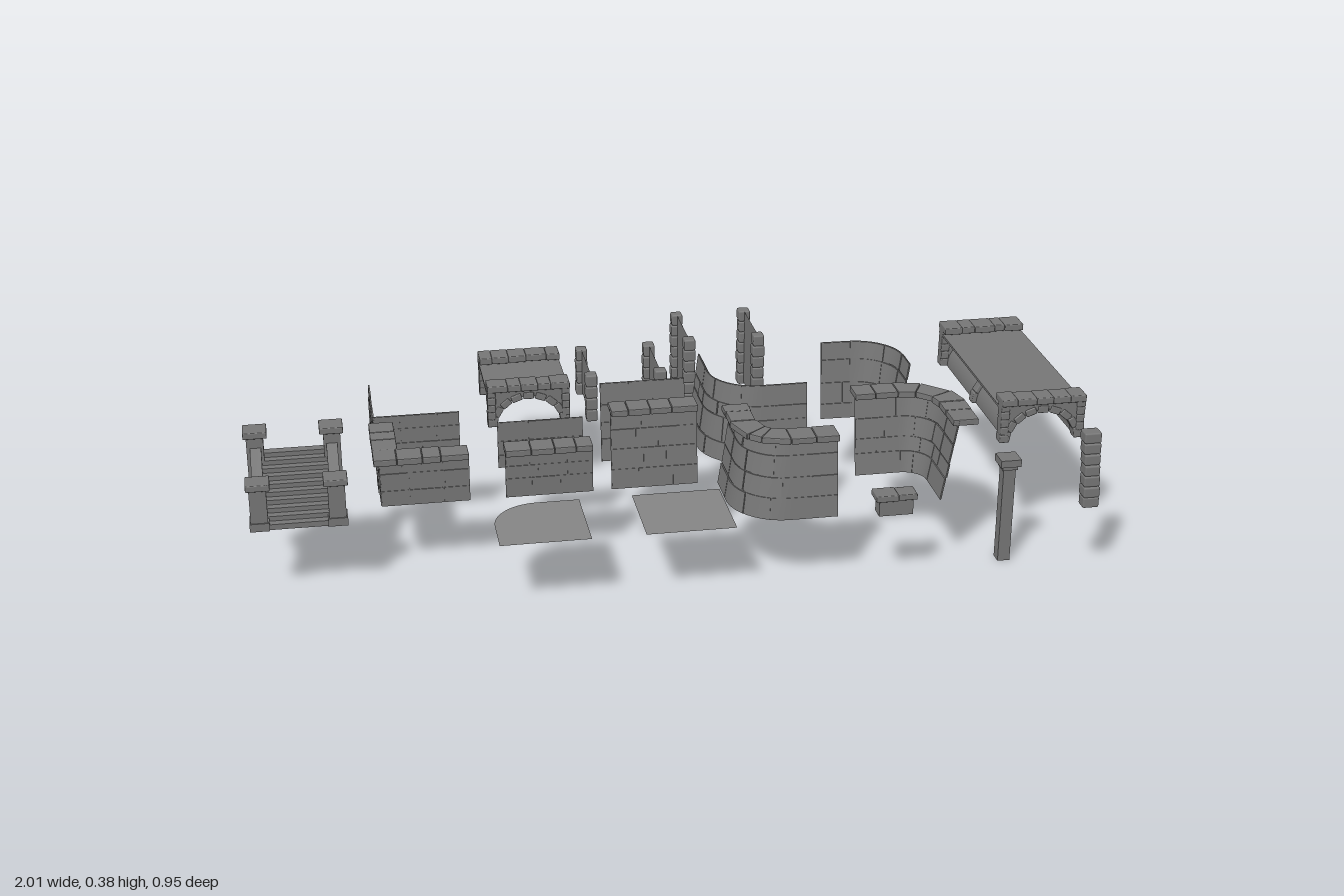
import * as THREE from 'three';
import { mergeGeometries } from 'three/addons/utils/BufferGeometryUtils.js';
import { RoundedBoxGeometry } from 'three/addons/geometries/RoundedBoxGeometry.js';

const stoneGrey = new THREE.MeshStandardMaterial({ color: 0x767676, side: THREE.DoubleSide });
const floorGrey = new THREE.MeshStandardMaterial({ color: 0x848484, side: THREE.DoubleSide });
const GROUND = 0.178;

let seed = 7;
const rand = (a, b) => {
  seed = (seed * 16807) % 2147483647;
  return a + (b - a) * (seed / 2147483647);
};

function add(parent, name, geometries, material = stoneGrey) {
  const list = [].concat(geometries).map((g) => (g.index ? g.toNonIndexed() : g));
  const mesh = new THREE.Mesh(list.length > 1 ? mergeGeometries(list) : list[0], material);
  mesh.name = name;
  parent.add(mesh);
  return mesh;
}

function makeGroup(parent, name, x = 0, y = 0, z = 0) {
  const g = new THREE.Group();
  g.name = name;
  g.position.set(x, y, z);
  parent.add(g);
  return g;
}

const box = (w, h, d, x, y, z) => new THREE.BoxGeometry(w, h, d).translate(x, y, z);
const stone = (w, h, d, x, y, z) =>
  new RoundedBoxGeometry(w, h, d, 1, Math.min(w, h, d) * 0.15).translate(x, y, z);

// Move every vertex of a geometry by a rule
function bend(geometry, rule) {
  const p = geometry.attributes.position;
  const v = new THREE.Vector3();
  for (let i = 0; i < p.count; i++) {
    rule(v.fromBufferAttribute(p, i));
    p.setXYZ(i, v.x, v.y, v.z);
  }
  geometry.computeVertexNormals();
  return geometry;
}

// Cut a length into pieces of uneven size
function cuts(length, size) {
  const n = Math.max(1, Math.round(length / size));
  const out = [0];
  for (let i = 1; i < n; i++) out.push(((i + rand(-0.25, 0.25)) / n) * length);
  return [...out, length];
}

// Plan line (x, z) of a wall: straight, or turning at a rounded corner
function plan(a, b, corner, r = 0.11) {
  const path = new THREE.Path().moveTo(...a);
  if (corner) {
    const A = new THREE.Vector2(...a), B = new THREE.Vector2(...b), C = new THREE.Vector2(...corner);
    const p = C.clone().add(A.sub(C).setLength(r)), q = C.clone().add(B.clone().sub(C).setLength(r));
    const k = 0.55;
    const c1 = p.clone().lerp(C, k), c2 = q.clone().lerp(C, k);
    path.lineTo(p.x, p.y).bezierCurveTo(c1.x, c1.y, c2.x, c2.y, q.x, q.y);
  }
  return path.lineTo(...b);
}

// Brick-faced wall skin, leaning back by `batter`, with an optional row of cap stones
function wall(parent, name, path, top, { batter = 0, cap = null, extend = [0, 0] } = {}) {
  const g = makeGroup(parent, name);
  const length = path.getLength();
  const height = top - GROUND;
  // local x runs along the wall, y is up, z is outward
  const follow = (lean) => (v) => {
    const s = THREE.MathUtils.clamp(v.x, 0, length);
    const t = path.getTangentAt(THREE.MathUtils.clamp(s / length, 0.0005, 0.9995));
    const p = path.getPointAt(s / length);
    const d = v.z + lean * (1 - (v.y - GROUND) / height);
    v.set(p.x + t.x * (v.x - s) - t.y * d, v.y, p.y + t.y * (v.x - s) + t.x * d);
  };
  const skin = new THREE.PlaneGeometry(length, height, 32, 1);
  skin.translate(length / 2, GROUND + height / 2, 0);
  add(g, 'wallFace', bend(skin, follow(batter)));

  const bricks = [];
  const rows = cuts(height, 0.046);
  for (let r = 0; r + 1 < rows.length; r++) {
    const h = rows[r + 1] - rows[r];
    const c = cuts(length, rand(0.055, 0.085));
    for (let i = 0; i + 1 < c.length; i++) {
      const b = new THREE.BoxGeometry(c[i + 1] - c[i] - 0.003, h - 0.003, 0.004, 4, 1, 1);
      b.translate((c[i] + c[i + 1]) / 2, GROUND + rows[r] + h / 2, rand(-0.001, 0.001));
      bricks.push(bend(b, follow(batter)));
    }
  }
  add(g, 'bricks', bricks);

  if (cap) {
    const [inner, outer] = cap;
    const c = cuts(length + extend[0] + extend[1], 0.052);
    const stones = [];
    for (let i = 0; i + 1 < c.length; i++) {
      const s = stone(c[i + 1] - c[i] - 0.001, 0.015 + rand(0, 0.002), outer - inner + rand(-0.005, 0.002),
        (c[i] + c[i + 1]) / 2 - extend[0], top - 0.004, (inner + outer) / 2);
      stones.push(bend(s, follow(0)));
    }
    add(g, 'capStones', stones);
  }
}

// Stack of rough blocks, standing on y = 0, optionally leaning in z
function stack(w, h, d, count, lean = 0) {
  const out = [];
  for (let i = 0; i < count; i++) {
    out.push(stone(w * rand(0.88, 1), h / count, d * rand(0.86, 1), 0, (i + 0.5) * h / count, -lean * (i / (count - 1)) ** 1.5));
  }
  return out;
}

// Vaulted bridge: deck, barrel, and stone arch ends
function bridge(parent, name, x, y, z0, z1, rib) {
  const g = makeGroup(parent, name, x, y, (z0 + z1) / 2);
  const len = z1 - z0, half = 0.105, rx = 0.088, ry = 0.079;
  add(g, 'deck', box(half * 2, 0.006, len - 0.03, 0, 0.086, 0));
  const barrel = new THREE.CylinderGeometry(1, 1, len - 0.03, 24, 1, true, Math.PI / 2, Math.PI);
  add(g, 'barrel', barrel.rotateX(Math.PI / 2).scale(rx, ry, 1));

  const arch = (z, depth, rise) => {
    const out = [];
    for (let i = 0; i < 9; i++) {
      const a = ((i + 0.5) / 9) * Math.PI;
      const b = stone(0.018, 0.027, depth * rand(0.88, 1), 0, 0, 0);
      out.push(b.rotateZ(a).translate(Math.cos(a) * (rx + 0.002), Math.sin(a) * rise, z));
    }
    return out;
  };
  const face = new THREE.Shape().moveTo(-half, 0).lineTo(-half, 0.1).lineTo(half, 0.1).lineTo(half, 0).lineTo(rx, 0);
  face.absellipse(0, 0, rx, ry, 0, Math.PI, false, 0).lineTo(-half, 0);
  for (const s of [-1, 1]) {
    const z = s * (len / 2 - 0.02);
    const end = makeGroup(g, s > 0 ? 'frontEnd' : 'backEnd');
    add(end, 'spandrel', new THREE.ExtrudeGeometry(face, { depth: 0.024, bevelEnabled: false, curveSegments: 20 }).translate(0, 0, z - 0.012));
    add(end, 'archStones', arch(z, 0.032, ry + 0.001));
    for (const sx of [-1, 1]) {
      add(end, 'cornerStones', stack(0.022, 0.1, 0.034, 5)).position.set(sx * (half - 0.01), 0, z);
    }
    const c = cuts(half * 2, 0.045), caps = [];
    for (let i = 0; i + 1 < c.length; i++) {
      const d = rand(0.05, 0.062);
      caps.push(stone(c[i + 1] - c[i], 0.018, d, (c[i] + c[i + 1]) / 2 - half, 0.104, s * (len / 2 - d / 2)));
    }
    add(end, 'capStones', caps);
  }
  if (rib) add(g, 'middleRib', arch(0.005, 0.03, ry - 0.005));
}

// Straight stair with sloped side walls and four posts
function stairs(parent) {
  const g = makeGroup(parent, 'stairs', -0.89, GROUND, 0.158);
  const n = 10, steps = [];
  for (let i = 0; i < n; i++) {
    steps.push(box(0.18, 0.0135, 0.024, 0, 0.0065 + i * 0.0115, 0.085 - i * 0.0195));
  }
  add(g, 'steps', steps);
  const side = new THREE.Shape().moveTo(-0.09, 0).lineTo(0.09, 0).lineTo(0.09, 0.06).lineTo(-0.09, 0.155);
  for (const s of [-1, 1]) {
    const rail = new THREE.ExtrudeGeometry(side, { depth: 0.026, bevelEnabled: false });
    add(g, 'sideWall', rail.rotateY(-Math.PI / 2).translate(s * 0.089 + 0.013, 0, 0));
    for (const [z, h] of [[0.08, 0.105], [-0.08, 0.167]]) {
      add(g, 'post', [box(0.04, h, 0.04, s * 0.09, h / 2, z), stone(0.056, 0.016, 0.056, s * 0.089, h + 0.006, z),
        box(0.046, 0.02, 0.046, s * 0.09, 0.01, z)]);
    }
  }
}

export function createModel() {
  const model = new THREE.Group();
  model.name = 'stoneWallKit';
  stairs(model);

  // Low walls: corner and straight, bare and capped
  const low = 0.3, lowCap = [-0.046, 0.015];
  wall(model, 'lowCornerSide', plan([-0.695, -0.29], [-0.695, -0.08]), low);
  wall(model, 'lowCornerFront', plan([-0.695, -0.08], [-0.485, -0.08]), low);
  wall(model, 'cappedLowCornerSide', plan([-0.695, -0.035], [-0.695, 0.175]), low, { cap: lowCap, extend: [0, -0.045] });
  wall(model, 'cappedLowCornerFront', plan([-0.695, 0.175], [-0.485, 0.175]), low, { cap: lowCap, extend: [0.015, 0] });
  wall(model, 'lowWall', plan([-0.4, 0.005], [-0.19, 0.005]), low);
  wall(model, 'cappedLowWall', plan([-0.4, 0.175], [-0.19, 0.175]), low, { cap: lowCap });

  // Tall leaning walls: straight, outward curve, inward curve
  const tall = 0.379, tallCap = [-0.038, 0.025];
  wall(model, 'tallWall', plan([-0.145, -0.01], [0.065, -0.01]), tall, { batter: 0.02 });
  wall(model, 'cappedTallWall', plan([-0.145, 0.153], [0.065, 0.153]), tall, { batter: 0.02, cap: tallCap });
  wall(model, 'outerCurveWall', plan([0.13, -0.16], [0.355, 0.07], [0.13, 0.07]), tall, { batter: 0.025 });
  wall(model, 'cappedOuterCurveWall', plan([0.145, 0.18], [0.355, 0.38], [0.145, 0.38], 0.095), tall, { batter: 0.03, cap: tallCap });
  wall(model, 'innerCurveWall', plan([0.45, -0.18], [0.635, 0], [0.635, -0.175]), tall, { batter: 0.028 });
  wall(model, 'cappedInnerCurveWall', plan([0.45, 0.163], [0.652, 0.367], [0.652, 0.163], 0.09), tall, { batter: 0.035, cap: [-0.048, 0.016] });

  bridge(model, 'longBridge', 0.893, 0.27, -0.265, 0.275, true);
  bridge(model, 'shortBridge', -0.295, 0.185, -0.475, -0.222, false);

  // Thin side panels between pairs of block pillars
  for (const [x, h] of [[-0.13, 0.12], [0.05, 0.12], [0.125, 0.2], [0.305, 0.2]]) {
    const g = makeGroup(model, 'sidePanel', x, GROUND, -0.355);
    add(g, 'panel', new THREE.PlaneGeometry(0.185, h).rotateY(Math.PI / 2).translate(0, h / 2, 0));
    for (const s of [-1, 1]) {
      add(g, 'blockPillar', stack(0.032, h + 0.008, 0.036, h > 0.15 ? 7 : 4)).position.set(0, -0.006, s * 0.09);
    }
  }

  // Floor tiles, one with a rounded corner
  const tile = (name, x, r) => {
    const s = new THREE.Shape().moveTo(0, 0).lineTo(0.213, 0).lineTo(0.213, 0.213).lineTo(r, 0.213);
    if (r) s.absarc(r, 0.213 - r, r, Math.PI / 2, Math.PI, false);
    s.lineTo(0, 0);
    add(model, name, new THREE.ShapeGeometry(s, 12).rotateX(-Math.PI / 2), floorGrey).position.set(x, GROUND, 0.428);
  };
  tile('roundedFloor', -0.443, 0.11);
  tile('squareFloor', -0.103, 0);

  // Loose pieces: block, square column, leaning stone pillar
  const block = makeGroup(model, 'looseBlock', 0.49, GROUND, 0.41);
  add(block, 'base', box(0.082, 0.04, 0.036, 0, 0.02, 0));
  add(block, 'capStones', [stone(0.054, 0.016, 0.05, -0.023, 0.046, 0), stone(0.045, 0.015, 0.046, 0.027, 0.046, 0)]);

  const column = makeGroup(model, 'column', 0.785, 0, 0.347);
  add(column, 'shaft', box(0.03, 0.25, 0.03, 0, 0.125, 0));
  add(column, 'capital', [box(0.038, 0.01, 0.038, 0, 0.247, 0), box(0.05, 0.018, 0.05, 0, 0.261, 0)]);

  add(model, 'leaningPillar', stack(0.042, 0.184, 0.038, 7, 0.02)).position.set(0.953, GROUND, 0.453);
  return model;
}
